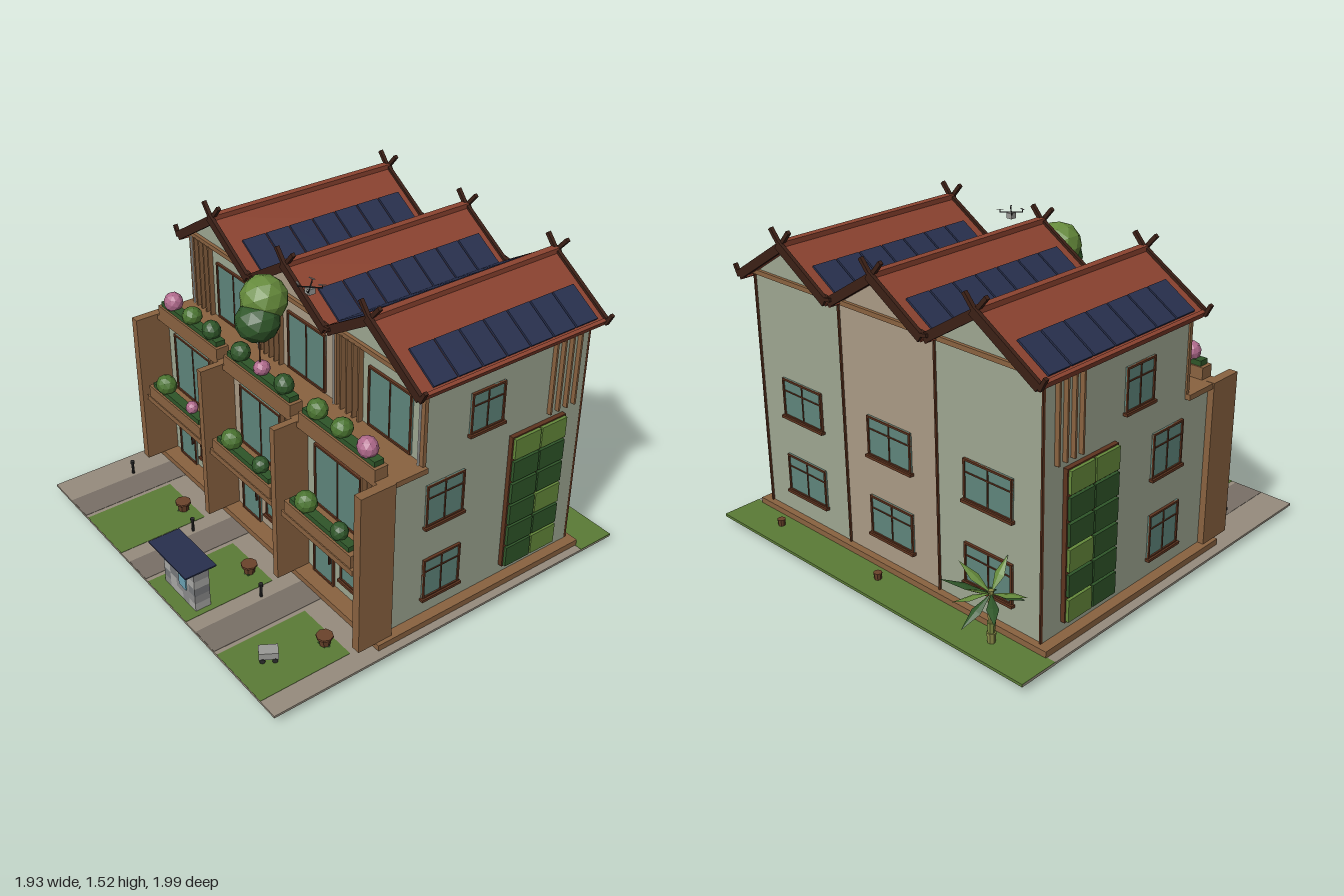
import * as THREE from 'three';

const C = {
  wall: 0x9ea792, beige: 0xaa9b85, wood: 0x8a6340, dark: 0x3c2016, frame: 0x5e341f, glass: 0x5f867c,
  roof: 0x8c4330, solar: 0x28304e, grass: 0x5b7b36, paving: 0x968c7e, drive: 0x797067, leafDark: 0x2f5629,
  leaf: 0x4a7430, leafLight: 0x658a3b, pink: 0xb06a8c, pot: 0x6b432b, metal: 0x9a9a96, black: 0x2a2a2a, pale: 0xe4e4de,
};
const mats = {};
const mat = (color) => (mats[color] ??= new THREE.MeshStandardMaterial({ color, flatShading: true }));

function mesh(parent, name, geo, color, x = 0, y = 0, z = 0) {
  const m = new THREE.Mesh(geo, mat(color));
  m.name = name;
  m.position.set(x, y, z);
  parent.add(m);
  return m;
}
// Box given by its extents along each axis
function span(parent, name, color, [x0, x1], [y0, y1], [z0, z1]) {
  return mesh(parent, name, new THREE.BoxGeometry(x1 - x0, y1 - y0, z1 - z0), color,
    (x0 + x1) / 2, (y0 + y1) / 2, (z0 + z1) / 2);
}
function group(parent, name, x = 0, y = 0, z = 0, ry = 0) {
  const g = new THREE.Group();
  g.name = name;
  g.position.set(x, y, z);
  g.rotation.y = ry;
  parent.add(g);
  return g;
}

// Framed window facing local +z, centred on its width
function windowUnit(parent, name, w, y0, y1, x, z, ry = 0, { transom = true, sill = true, mullion = true } = {}) {
  const g = group(parent, name, x, 0, z, ry), t = 0.009, h = w / 2, d = [-0.005, 0.011];
  span(g, 'glass', C.glass, [-h, h], [y0, y1], [-0.005, 0.004]);
  for (const s of [-h, h - t]) span(g, 'frameSide', C.frame, [s, s + t], [y0, y1], d);
  for (const y of [y0, y1 - t]) span(g, 'frameBar', C.frame, [-h, h], [y, y + t], d);
  if (mullion) span(g, 'mullion', C.frame, [-0.003, 0.003], [y0, y1], [-0.005, 0.008]);
  const ty = y1 - (y1 - y0) * 0.32;
  if (transom) span(g, 'transom', C.frame, [-h, h], [ty - 0.003, ty + 0.003], [-0.005, 0.008]);
  if (sill) span(g, 'sill', C.frame, [-h - 0.008, h + 0.008], [y0 - 0.01, y0 + 0.003], [-0.005, 0.02]);
}

function shrub(parent, x, y, z, r, color) {
  const m = mesh(parent, 'shrub', new THREE.IcosahedronGeometry(r, 1), color, x, y, z);
  m.scale.y = 0.92;
  m.rotation.set(x * 9, x * 5, 0.3);
}

// One roof slope hanging from the ridge, with panels and bargeboards
function roofSlope(parent, cx, side, outer) {
  const g = group(parent, 'roofSlope', cx, 1.462, -0.2725);
  g.rotation.set(0, side < 0 ? Math.PI : 0, -0.562);
  const L = outer ? 0.388 : 0.346;
  span(g, 'roofSlab', C.roof, [0, L], [-0.024, 0], [-0.515, 0.515]);
  span(g, 'eaveBoard', C.roof, [L - 0.012, L + 0.004], [-0.032, 0.006], [-0.515, 0.515]);
  const px = outer ? 0.276 : 0.257;
  for (let i = 0; i < 7; i++) {
    const z = (i - 3) * 0.131 - side * 0.0075;
    mesh(g, 'solarPanel', new THREE.BoxGeometry(0.184, 0.01, 0.122), C.solar, px, 0.009, z);
  }
  for (const end of [-1, 1]) {
    const z = end * 0.514 + 0.006;
    span(g, 'bargeboard', C.dark, [-0.01, L], [-0.03, 0.012], [z - 0.009, z + 0.009]);
    const horn = mesh(g, 'ridgeHorn', new THREE.BoxGeometry(0.09, 0.018, 0.018), C.dark, -0.035, 0.01, z);
    horn.rotation.z = -0.3;
    const tip = mesh(g, 'eaveHorn', new THREE.BoxGeometry(0.06, 0.016, 0.018), C.dark, L + 0.006, 0.016, z);
    tip.rotation.z = outer ? 1.65 : 0.7;
    if (!outer) tip.scale.x = 0.6;
  }
}

function house(root, i) {
  const cx = (i - 1) * 0.583, color = i === 1 ? C.beige : C.wall, h = 0.2915;
  const g = group(root, 'house', cx);
  // Lower floors and gabled top floor
  span(g, 'lowerFloors', color, [-h, h], [0.08, 0.87], [-0.723, 0.353]);
  const gable = new THREE.Shape([[-h, 0.86], [h, 0.86], [h, 1.256], [0, 1.44], [-h, 1.256]].map((p) => new THREE.Vector2(...p)));
  mesh(g, 'topFloor', new THREE.ExtrudeGeometry(gable, { depth: 0.903, bevelEnabled: false }), color, 0, 0, -0.723);
  for (const z of [-0.728, 0.188]) span(g, 'tieBeam', C.wood, [-h, h], [1.25, 1.272], [z - 0.01, z + 0.01]);
  // Roof
  for (const s of [-1, 1]) roofSlope(g, 0, s, (i - 1) === s);
  span(g, 'ridgeCap', C.roof, [-0.018, 0.018], [1.45, 1.474], [-0.785, 0.24]);
  // Front openings
  windowUnit(g, 'terraceDoor', 0.28, 0.9, 1.19, 0.071, 0.182, 0, { transom: false, sill: false });
  windowUnit(g, 'balconyDoor', 0.326, 0.48, 0.795, -0.052, 0.355, 0, { transom: false, sill: false });
  windowUnit(g, 'groundWindow', 0.26, 0.165, 0.4, 0.105, 0.355);
  windowUnit(g, 'frontDoor', 0.15, 0.085, 0.39, -0.15, 0.355, 0, { transom: false, sill: false, mullion: false });
  span(g, 'doorHandle', C.dark, [-0.105, -0.1], [0.2, 0.27], [0.35, 0.37]);
  span(g, 'doorCanopy', 0xa9a897, [-0.268, -0.03], [0.394, 0.408], [0.35, 0.46]);
  // Timber slats
  for (let k = 0; k < 4; k++) {
    const a = -0.242 + k * 0.041, b = 0.13 + k * 0.035;
    span(g, 'topSlat', C.wood, [a - 0.005, a + 0.005], [0.89, 1.255], [0.18, 0.205]);
    span(g, 'lowerSlat', C.wood, [b - 0.005, b + 0.005], [0.53, 0.868], [0.35, 0.375]);
  }
  // Balcony and planters
  span(g, 'balconyFloor', C.wood, [-0.255, 0.255], [0.45, 0.478], [0.35, 0.515]);
  span(g, 'balconyFront', C.wood, [-0.237, 0.237], [0.478, 0.54], [0.445, 0.51]);
  span(g, 'balconyPlanting', C.leafDark, [-0.21, 0.21], [0.53, 0.565], [0.455, 0.5]);
  span(g, 'terracePlanter', C.wood, [-0.262, 0.262], [0.888, 0.947], [0.345, 0.412]);
  span(g, 'terracePlanting', C.leafDark, [-0.245, 0.245], [0.94, 0.972], [0.353, 0.402]);
  for (let k = 0; k < 3; k++) {
    const c = k === i ? C.pink : k === 1 || i === 2 ? C.leaf : C.leafDark;
    shrub(g, (k - 1) * 0.17, 0.995, 0.377, k === 1 && i === 1 ? 0.04 : 0.05, c);
  }
  shrub(g, -0.118, 0.59, 0.477, 0.054, C.leaf);
  shrub(g, 0.118, 0.582, 0.477, i ? 0.043 : 0.033, i ? C.leafDark : C.pink);
  // Rear windows
  for (const y of [0.2, 0.59]) windowUnit(g, 'rearWindow', 0.27, y, y + 0.19, 0, -0.725, Math.PI);
  // Front garden
  span(g, 'driveway', C.drive, [-0.222, -0.072], [0.044, 0.0575], [0.43, 0.998]);
  span(g, 'lawn', C.grass, [-0.05, 0.281], [0.044, 0.0575], [0.54, 0.999]);
  mesh(g, 'bollard', new THREE.CylinderGeometry(0.007, 0.007, 0.06, 8), C.black, -0.245, 0.086, 0.64);
  mesh(g, 'bollardCap', new THREE.CylinderGeometry(0.011, 0.011, 0.014, 8), C.black, -0.245, 0.122, 0.64);
  const plant = group(g, 'pottedPlant', 0.17, 0, 0.592);
  mesh(plant, 'pot', new THREE.CylinderGeometry(0.034, 0.024, 0.045, 8), C.pot, 0, 0.08, 0);
  mesh(plant, 'potRim', new THREE.CylinderGeometry(0.039, 0.039, 0.01, 8), C.pot, 0, 0.103, 0);
  for (let k = 0; k < 7; k++) {
    const arm = group(plant, 'spike', 0, 0.06, 0, k * 0.9 + i);
    const s = mesh(arm, 'spikeLeaf', new THREE.ConeGeometry(0.013, 0.08, 4), C.leafDark, 0.036, -0.02, 0);
    s.rotation.z = -Math.PI / 2 - 0.55 - (k % 3) * 0.12;
  }
}

// Side elevation: windows, slats and planted wall, facing local +z with local x toward the given side
function sideWall(root, s) {
  const g = group(root, s > 0 ? 'leftSide' : 'rightSide', s * 0.8745, 0, 0, s * Math.PI / 2);
  const X = (z) => -s * z;
  windowUnit(g, 'topWindow', 0.185, 0.945, 1.145, X(-0.148), 0.002);
  for (const y of [0.175, 0.567]) windowUnit(g, 'sideWindow', 0.207, y, y + 0.213, X(0.061), 0.002);
  for (let k = 0; k < 4; k++) {
    const x = X(-0.516 - k * 0.048);
    span(g, 'sideSlat', C.wood, [x - 0.005, x + 0.005], [0.87, 1.25], [0, 0.022]);
  }
  mesh(g, 'greenWallFrame', new THREE.BoxGeometry(0.316, 0.705, 0.024), C.frame, X(-0.453), 0.488, 0.01);
  for (let r = 0; r < 6; r++) for (let c = 0; c < 2; c++) {
    const light = r === 0 || (c === 1 && (r === 3 || r === 5));
    mesh(g, 'greenPanel', new THREE.BoxGeometry(0.147, 0.104, 0.034), light ? C.leafLight : C.leafDark,
      X(-0.376 - c * 0.155), 0.782 - r * 0.1175, 0.02);
  }
}

export function createModel() {
  const root = new THREE.Group();
  root.name = 'terracedHouses';

  // Ground
  span(root, 'paving', C.paving, [-0.97, 0.965], [0.045, 0.056], [-0.945, 1]);
  span(root, 'backLawn', C.grass, [-0.97, 0.965], [0.044, 0.0575], [-0.946, -0.75]);
  span(root, 'plinth', C.wood, [-0.925, 0.925], [0.043, 0.086], [-0.757, 0.435]);

  for (let i = 0; i < 3; i++) house(root, i);
  for (const s of [-1, 1]) sideWall(root, s);

  // Terrace slab, party piers, posts and downpipes
  span(root, 'terraceSlab', C.wood, [-0.9, 0.9], [0.864, 0.89], [0.18, 0.412]);
  for (const x of [-0.884, -0.292, 0.292, 0.884]) {
    const w = Math.abs(x) > 0.5 ? 0.022 : 0.017;
    span(root, 'pier', C.wood, [x - w, x + w], [0.084, 0.891], [0.35, 0.528]);
    const p = x * (Math.abs(x) > 0.5 ? 0.985 : 1);
    span(root, 'post', C.wood, [p - 0.012, p + 0.012], [0.89, 1.25], [0.178, 0.196]);
    mesh(root, 'downpipe', new THREE.CylinderGeometry(0.005, 0.005, 0.36, 8), C.pale, p * 0.985, 1.07, 0.2);
    span(root, 'rearPipe', C.frame, [p - 0.004, p + 0.004], [0.086, 1.25], [-0.733, -0.72]);
  }

  // Terrace tree
  const tree = group(root, 'terraceTree', 0, 0, 0.37);
  mesh(tree, 'treeTrunk', new THREE.CylinderGeometry(0.003, 0.005, 0.32, 6), C.pot, 0, 1.1, 0.015);
  mesh(tree, 'upperCrown', new THREE.IcosahedronGeometry(0.108, 1), C.leafLight, -0.01, 1.325, -0.022);
  mesh(tree, 'lowerCrown', new THREE.IcosahedronGeometry(0.102, 1), C.leafDark, 0.022, 1.247, 0.035).scale.y = 0.9;

  // Stone kiosk with solar top
  const kiosk = group(root, 'kiosk', 0.12, 0, 0.89);
  for (let r = 0; r < 5; r++) for (let c = 0; c < 5; c++) {
    const tone = [0x8b8b8b, 0xa9a9a6, 0x77797c][(r * 2 + c * c + (r * c) % 2) % 3];
    mesh(kiosk, 'stoneBlock', new THREE.BoxGeometry(0.0524, 0.0412, 0.078), tone, (c - 2) * 0.0524, 0.077 + r * 0.0412, 0);
  }
  mesh(kiosk, 'kioskScreen', new THREE.BoxGeometry(0.06, 0.07, 0.09), 0x6ba3b5, 0.035, 0.17, 0);
  mesh(kiosk, 'kioskPlanting', new THREE.BoxGeometry(0.22, 0.014, 0.06), C.leaf, 0.01, 0.27, 0);
  mesh(kiosk, 'kioskRoof', new THREE.BoxGeometry(0.316, 0.007, 0.158), C.solar, 0, 0.287, 0.015);
  for (const x of [-0.1, 0.1]) mesh(kiosk, 'kioskPost', new THREE.CylinderGeometry(0.004, 0.004, 0.04, 6), C.black, x, 0.27, 0);

  // Delivery cart
  const cart = group(root, 'cart', 0.683, 0, 0.835, -0.55);
  mesh(cart, 'cartBody', new THREE.BoxGeometry(0.058, 0.034, 0.085), C.metal, 0, 0.094, 0);
  for (const x of [-0.026, 0.026]) for (const z of [-0.027, 0.027]) {
    mesh(cart, 'wheel', new THREE.CylinderGeometry(0.012, 0.012, 0.01, 10), C.black, x, 0.07, z).rotation.z = Math.PI / 2;
  }

  // Drone
  const drone = group(root, 'drone', 0.216, 1.434, 0.268);
  mesh(drone, 'droneBody', new THREE.BoxGeometry(0.032, 0.026, 0.032), C.metal);
  for (let k = 0; k < 4; k++) {
    const arm = group(drone, 'droneArm', 0, 0.016, 0, Math.PI / 4 + k * Math.PI / 2);
    mesh(arm, 'armRod', new THREE.BoxGeometry(0.05, 0.004, 0.005), C.black, 0.028, 0, 0);
    mesh(arm, 'rotor', new THREE.BoxGeometry(0.032, 0.002, 0.007), C.metal, 0.052, 0.014, 0).rotation.y = k;
    mesh(arm, 'rotorShaft', new THREE.CylinderGeometry(0.003, 0.003, 0.016, 6), C.black, 0.052, 0.007, 0);
  }

  // Palm
  const palm = group(root, 'palm', -0.69, 0, -0.825);
  for (let k = 0; k < 5; k++) {
    mesh(palm, 'trunkSegment', new THREE.CylinderGeometry(0.021 - k * 0.002, 0.017 - k * 0.002, 0.052, 7), k % 2 ? 0x7d8a42 : 0x8a8a48, 0, 0.08 + k * 0.05, 0);
  }
  [[0.1, 0.5, 0.19], [0.8, 0.35, 0.22], [1.6, 0.55, 0.18], [2.4, -0.15, 0.19], [3.2, 0.3, 0.2], [4.0, -0.3, 0.15],
    [4.7, 0.95, 0.17], [5.5, -0.4, 0.15], [0.5, -0.4, 0.18], [1.5, -0.55, 0.19]].forEach(([yaw, tilt, len], k) => {
    const arm = group(palm, 'frond', 0, 0.29, 0, yaw);
    const blade = mesh(arm, 'frondBlade', new THREE.OctahedronGeometry(1), k % 2 ? C.leafDark : C.leafLight,
      Math.cos(tilt) * len / 2, Math.sin(tilt) * len / 2, 0);
    blade.scale.set(len / 2, 0.006, 0.026);
    blade.rotation.z = tilt;
  });

  // Small pots behind the houses
  for (const x of [0, 0.683]) mesh(root, 'rearPot', new THREE.CylinderGeometry(0.02, 0.016, 0.035, 8), C.pot, x, 0.073, -0.826);

  return root;
}
